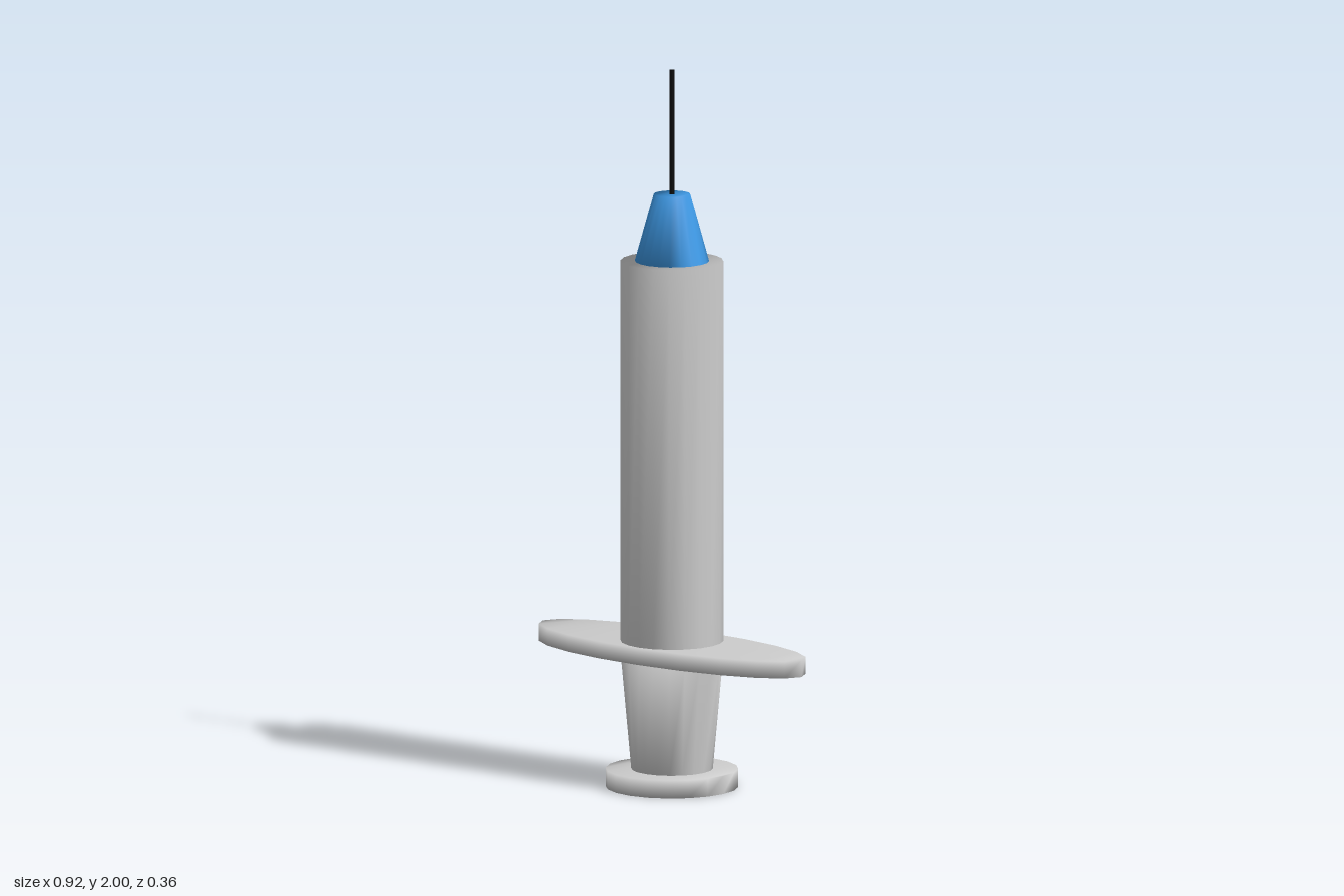
import * as THREE from 'three';

const SIDES = 20;

// Closed frustum from two rings with shared, softly shaded rims and strip-filled caps
function frustum(y0, y1, r0, r1, zScale = 1) {
  const pos = [], idx = [];
  for (const [y, r] of [[y0, r0], [y1, r1]]) {
    for (let i = 0; i < SIDES; i++) {
      const a = (i / SIDES) * Math.PI * 2;
      pos.push(r * Math.cos(a), y, -r * zScale * Math.sin(a));
    }
  }
  // side wall
  for (let i = 0; i < SIDES; i++) {
    const j = (i + 1) % SIDES;
    idx.push(i, j, SIDES + j, i, SIDES + j, SIDES + i);
  }
  // caps, zigzagging across the ring
  const cap = (a, b, c) => idx.push(SIDES + a, SIDES + b, SIDES + c, a, c, b);
  for (let lo = 0, hi = SIDES - 1; hi - lo > 1; lo++, hi--) {
    cap(lo, lo + 1, hi);
    if (hi - lo > 2) cap(lo + 1, hi - 1, hi);
  }
  const geo = new THREE.BufferGeometry();
  geo.setAttribute('position', new THREE.Float32BufferAttribute(pos, 3));
  geo.setIndex(idx);
  geo.computeVertexNormals();
  return geo;
}

export function createModel() {
  const group = new THREE.Group();
  const grey = new THREE.MeshStandardMaterial({ color: 0xcccccc });
  const blue = new THREE.MeshStandardMaterial({ color: 0x3f9be8 });
  const black = new THREE.MeshStandardMaterial({ color: 0x0a0a0a });

  const add = (name, geometry, material) => {
    const mesh = new THREE.Mesh(geometry, material);
    mesh.name = name;
    group.add(mesh);
  };

  // plunger: thumb disc and tapered rod
  add('thumbDisc', frustum(0, 0.05, 0.182, 0.182), grey);
  add('plungerRod', frustum(0.05, 0.36, 0.112, 0.14), grey);

  // barrel with elliptical finger flange
  add('fingerFlange', frustum(0.36, 0.407, 0.459, 0.459, 0.148 / 0.459), grey);
  add('barrel', frustum(0.407, 1.467, 0.141, 0.141), grey);

  // needle hub and needle
  add('needleHub', frustum(1.467, 1.655, 0.102, 0.05), blue);
  add('needle', frustum(1.655, 2, 0.0075, 0.0075), black);

  return group;
}
